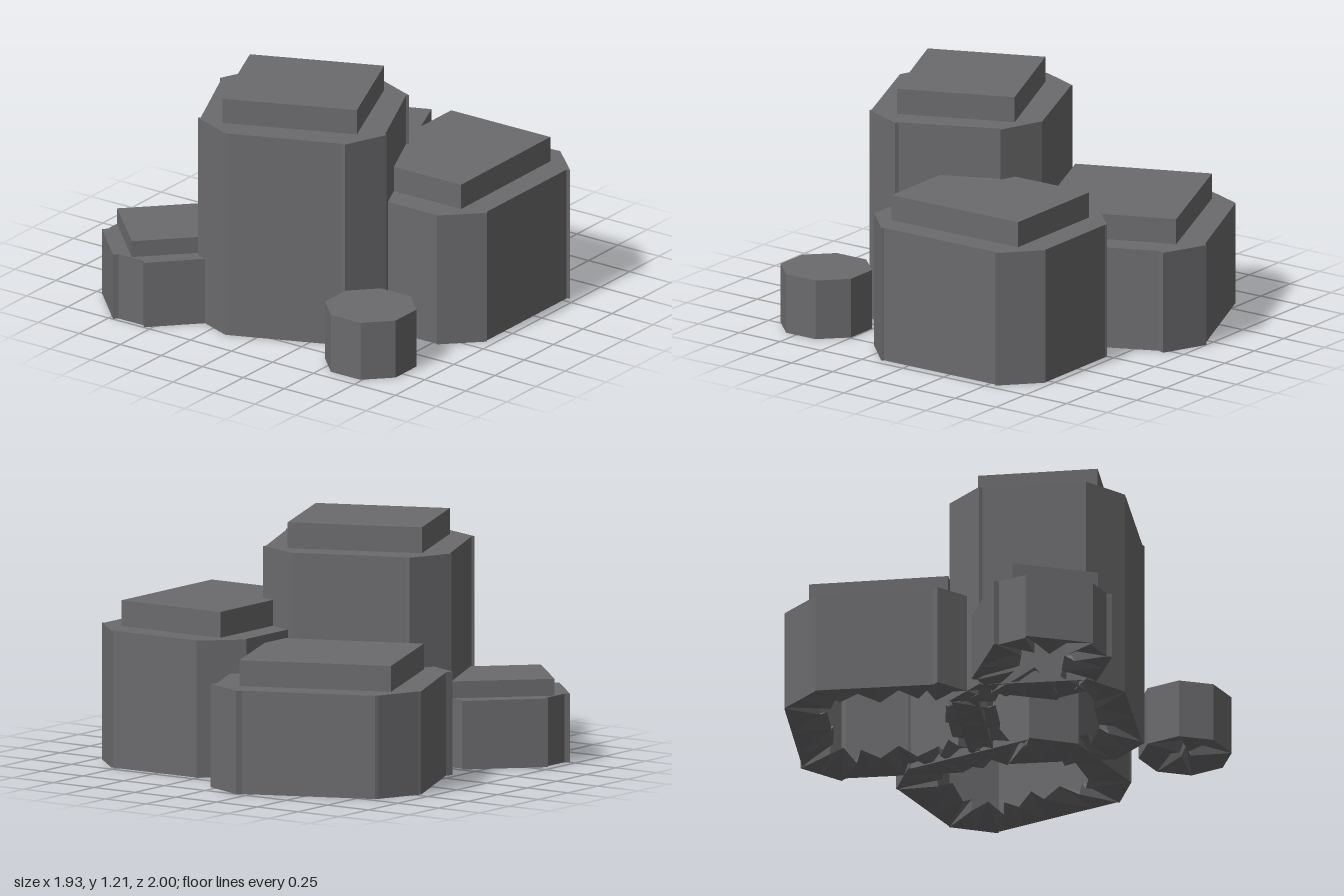
import * as THREE from 'three';

const stone = new THREE.MeshStandardMaterial({ color: 0x6b6b6e, side: THREE.DoubleSide, flatShading: true });
stone.name = 'dark grey stone';

// Each column: centre (x, z), half of its outline (the rest is its point reflection),
// height, and half of the raised slab on top with the slab's height.
const COLUMNS = [
  { name: 'backRightColumn', c: [-0.34, -0.4], h: 0.52,
    half: [[-0.94, -0.47], [-0.93, -0.49], [-0.845, -0.7], [-0.835, -0.715], [-0.21, -0.98], [-0.19, -1], [0.04, -0.9], [0.025, -0.865]],
    slab: [[-0.83, -0.575], [-0.115, -0.87]], top: 0.65 },
  { name: 'leftColumn', c: [0.52, -0.19], h: 0.69,
    half: [[0.09, -0.53], [0.08, -0.54], [0.26, -0.715], [0.27, -0.71], [0.77, -0.71], [0.78, -0.715], [0.965, -0.54], [0.95, -0.53]],
    slab: [[0.215, -0.575], [0.82, -0.575]], top: 0.82 },
  { name: 'tallColumn', c: [-0.04, 0.33], h: 1.08,
    half: [[-0.58, 0.275], [-0.595, 0.265], [-0.5, 0.04], [-0.48, 0.04], [0.06, -0.18], [0.07, -0.183], [0.3, -0.095], [0.29, -0.085]],
    slab: [[-0.47, 0.185], [0.16, -0.08]], top: 1.21 },
  { name: 'frontRightColumn', c: [-0.6, 0.63], h: 0.345,
    half: [[-0.965, 0.57], [-0.665, 0.263], [-0.645, 0.283], [-0.495, 0.283], [-0.475, 0.263], [-0.235, 0.505], [-0.255, 0.525], [-0.255, 0.675]],
    slab: [[-0.94, 0.66], [-0.57, 0.29]], top: 0.43 },
  { name: 'smallColumn', c: [0.65, 0.72], h: 0.305,
    half: [[0.435, 0.63], [0.56, 0.505], [0.74, 0.505], [0.865, 0.63]] },
];
const LIP = 0.2; // width of the chipped lip around each hollow underside

// Complete an outline by reflecting it through the centre.
const outline = (half, [cx, cz]) => [...half, ...half.map(([x, z]) => [2 * cx - x, 2 * cz - z])];

// Split the long edges of an outline into short pieces.
const subdivide = (loop) => loop.flatMap(([x, z], i) => {
  const [nx, nz] = loop[(i + 1) % loop.length];
  const n = Math.max(1, Math.round(Math.hypot(nx - x, nz - z) / 0.15));
  return Array.from({ length: n }, (_, k) => [x + (nx - x) * k / n, z + (nz - z) * k / n]);
});

// Ring of quads between two matching loops; heightA may vary by point.
function band(a, heightA, b, yb) {
  const p = [];
  a.forEach((_, i) => {
    const j = (i + 1) % a.length;
    const A = [a[i][0], heightA(i), a[i][1]], B = [b[i][0], yb, b[i][1]];
    const C = [b[j][0], yb, b[j][1]], D = [a[j][0], heightA(j), a[j][1]];
    p.push(...A, ...B, ...C, ...A, ...C, ...D);
  });
  const g = new THREE.BufferGeometry();
  g.setAttribute('position', new THREE.Float32BufferAttribute(p, 3));
  g.computeVertexNormals();
  return g;
}

// Flat top face at height y.
function cap(loop, y) {
  const shape = new THREE.Shape(loop.map(([x, z]) => new THREE.Vector2(x, -z)));
  return new THREE.ShapeGeometry(shape).rotateX(-Math.PI / 2).translate(0, y, 0);
}

export function createModel() {
  const model = new THREE.Group();
  model.name = 'rockColumns';
  for (const { name, c, h, half, slab, top } of COLUMNS) {
    const column = new THREE.Group();
    column.name = name;
    const add = (geometry, part) => {
      const mesh = new THREE.Mesh(geometry, stone);
      mesh.name = part;
      column.add(mesh);
    };
    const outer = outline(half, c);
    add(band(outer, () => 0, outer, h), 'walls');
    add(cap(outer, h), 'topFace');

    // chipped lip: its inner edge zigzags up and down
    const rim = subdivide(outer);
    const inner = rim.map(([x, z]) => {
      const s = 1 - LIP / Math.hypot(x - c[0], z - c[1]);
      return [c[0] + (x - c[0]) * s, c[1] + (z - c[1]) * s];
    });
    add(band(inner, (i) => (i % 2 ? 0.07 : 0.01), rim, 0), 'bottomLip');

    if (slab) {
      const loop = outline(slab, c);
      add(band(loop, () => h, loop, top), 'slabSides');
      add(cap(loop, top), 'slabTop');
    }
    model.add(column);
  }
  return model;
}
